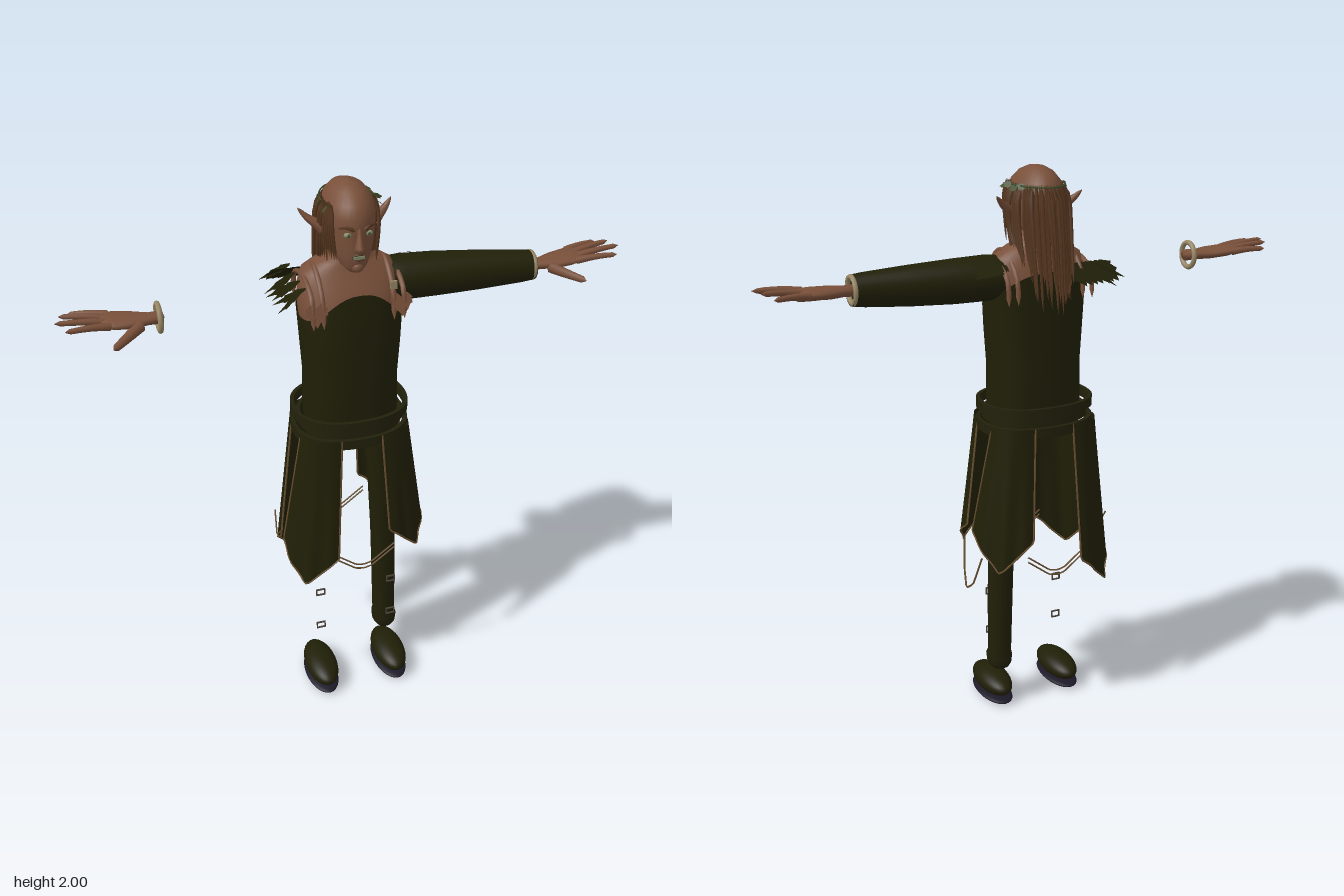
import * as THREE from 'three';
import { toCreasedNormals } from 'three/addons/utils/BufferGeometryUtils.js';

const V = (x, y, z) => new THREE.Vector3(x, y, z);
const mat = (name, color, side = THREE.FrontSide) => {
  const m = new THREE.MeshStandardMaterial({ color, side });
  m.name = name;
  return m;
};

// Skin of stacked rings [y, rx, rz, cx, cz]; square < 1 makes boxier ovals, lift shifts y per angle
function loft(rings, square = 1, n = 32, lift = null) {
  const pos = [], idx = [];
  const pow = (v) => Math.sign(v) * Math.abs(v) ** square;
  rings.forEach(([y, rx, rz, cx = 0, cz = 0], i) => {
    for (let j = 0; j < n; j++) {
      const a = (j / n) * Math.PI * 2;
      pos.push(cx + rx * pow(Math.cos(a)), y + (lift ? lift(i, a) : 0), cz + rz * pow(Math.sin(a)));
      if (i < rings.length - 1) {
        const k = (j + 1) % n, p = i * n + j, q = i * n + k;
        idx.push(p, p + n, q, q, p + n, q + n);
      }
    }
  });
  const g = new THREE.BufferGeometry();
  g.setAttribute('position', new THREE.Float32BufferAttribute(pos, 3));
  g.setIndex(idx);
  g.computeVertexNormals();
  return g;
}

// Tube along points, tapering from r0 to r1 and closing at both ends
function taper(points, r0, r1 = r0, seg = 8, sides = 6) {
  const curve = new THREE.CatmullRomCurve3(points);
  const g = new THREE.TubeGeometry(curve, seg, 1, sides, false);
  const p = g.attributes.position, v = V(0, 0, 0);
  for (let i = 0; i < p.count; i++) {
    const ring = Math.floor(i / (sides + 1)), t = ring / seg, c = curve.getPointAt(t);
    const r = ring === 0 || ring === seg ? 0.0004 : r0 + (r1 - r0) * t;
    v.fromBufferAttribute(p, i).sub(c).multiplyScalar(r).add(c);
    p.setXYZ(i, v.x, v.y, v.z);
  }
  return g;
}

// Thin polyline made of straight tube runs
function line(points, r) {
  const path = new THREE.CurvePath();
  for (let i = 1; i < points.length; i++) path.add(new THREE.LineCurve3(points[i - 1], points[i]));
  return new THREE.TubeGeometry(path, points.length * 5, r, 5, false);
}

export function createModel() {
  const root = new THREE.Group();
  const skin = mat('skin', 0x79503a);
  const hair = mat('hair', 0x55361f);
  const cloth = mat('dark green cloth', 0x201f07, THREE.DoubleSide);
  const leather = mat('belt leather', 0x22210b);
  const trim = mat('tan trim', 0x6a5030);
  const cuffs = mat('bone cuff', 0x988866);
  const sole = mat('dark sole', 0x1c1928);
  const leafy = mat('circlet green', 0x424f2a, THREE.DoubleSide);
  const eyeMat = mat('pale eye', 0x7f8a6a);
  const metal = mat('buckle metal', 0x4c433a);
  const add = (name, geo, material, parent = root) => {
    const m = new THREE.Mesh(geo, material);
    m.name = name;
    parent.add(m);
    return m;
  };
  let seed = 7;
  const rnd = () => (seed = (seed * 16807) % 2147483647) / 2147483647;

  // Head, neck and bare shoulders
  add('head', loft([[1.722, 0.001, 0.001, 0, 0.075], [1.726, 0.025, 0.025, 0, 0.07], [1.745, 0.045, 0.05, 0, 0.053],
    [1.78, 0.062, 0.082, 0, 0.03], [1.82, 0.074, 0.1, 0, 0.012], [1.87, 0.082, 0.118, 0, -0.003],
    [1.91, 0.085, 0.126, 0, -0.01], [1.95, 0.076, 0.112, 0, -0.014], [1.98, 0.052, 0.078, 0, -0.016],
    [1.995, 0.026, 0.038, 0, -0.016], [2, 0.001, 0.001, 0, -0.016]]), skin);
  add('shoulders', loft([[1.5, 0.16, 0.12, 0, 0.005], [1.55, 0.17, 0.126, 0, 0.002], [1.6, 0.173, 0.122, 0, -0.004],
    [1.66, 0.17, 0.102, 0, -0.012], [1.705, 0.157, 0.08, 0, -0.018], [1.735, 0.11, 0.065, 0, -0.016],
    [1.752, 0.06, 0.055, 0, -0.01], [1.83, 0.048, 0.05, 0, -0.005]], 0.85), skin);
  add('nose', loft([[1.805, 0.004, 0.004, 0, 0.11], [1.812, 0.019, 0.022, 0, 0.12], [1.825, 0.014, 0.022, 0, 0.121],
    [1.85, 0.009, 0.018, 0, 0.112], [1.885, 0.006, 0.008, 0, 0.108]], 1, 12), skin);
  add('chin', new THREE.SphereGeometry(0.02, 14, 10).translate(0, 1.745, 0.092), skin);
  add('teeth', new THREE.BoxGeometry(0.036, 0.01, 0.009).translate(0, 1.785, 0.112), eyeMat);
  for (const y of [1.795, 1.775])
    add('lip', taper([V(-0.026, 1.785, 0.102), V(0, y, 0.114), V(0.026, 1.785, 0.102)], 0.004), hair);
  for (const s of [-1, 1]) {
    add('eye', new THREE.SphereGeometry(0.013, 12, 8).scale(1.1, 0.7, 0.7).translate(s * 0.034, 1.862, 0.102), eyeMat);
    add('iris', new THREE.SphereGeometry(0.006, 8, 6).translate(s * 0.034, 1.862, 0.107), leafy);
    add('brow', taper([V(s * 0.014, 1.878, 0.116), V(s * 0.035, 1.888, 0.108), V(s * 0.06, 1.88, 0.083)], 0.007, 0.003), hair);
    add('ear', taper([V(s * 0.072, 1.838, -0.002), V(s * 0.1, 1.86, -0.015), V(s * 0.13, 1.88, -0.03), V(s * 0.158, 1.91, -0.045)], 0.026, 0.004), skin);
  }

  // Hair strands: long at the back, shorter toward the temples
  const hairGroup = new THREE.Group();
  hairGroup.name = 'hair';
  root.add(hairGroup);
  for (let i = 0; i < 60; i++) {
    const a = (i / 59 - 0.5) * 3.6 + (rnd() - 0.5) * 0.08, s = Math.sin(a), c = Math.cos(a);
    const end = 1.7 - 0.13 * Math.max(0, c) + (rnd() - 0.5) * 0.1, w = 0.9 + rnd() * 0.2;
    add('strand', taper([V(s * 0.078, 1.945, -0.015 - c * 0.115), V(s * 0.092 * w, 1.9, -0.02 - c * 0.128),
      V(s * 0.095 * w, 1.8, -0.03 - c * 0.13 * w), V(s * 0.09 * w, end, -0.055 - c * 0.135 * w)], 0.008, 0.004, 8, 5), hair, hairGroup);
  }
  for (const s of [-1, 1]) for (let i = 0; i < 6; i++)
    add('temple strand', taper([V(s * 0.072, 1.95, 0.02 + i * 0.008), V(s * (0.092 - i * 0.003), 1.88, 0.03 + i * 0.01),
      V(s * (0.09 - i * 0.005), 1.74 + rnd() * 0.05, 0.03 + i * 0.01)], 0.006, 0.003, 6, 5), hair, hairGroup);

  // Leaf blade laid along dir with the given face direction
  const blade = new THREE.Shape();
  blade.moveTo(-0.1, 0);
  for (const [x, y] of [[-0.38, 0.3], [-0.28, 0.36], [-0.34, 0.62], [-0.2, 0.66], [0, 1], [0.2, 0.66], [0.34, 0.62], [0.28, 0.36], [0.38, 0.3], [0.1, 0]]) blade.lineTo(x, y);
  const bladeGeo = new THREE.ShapeGeometry(blade);
  const leaf = (name, at, dir, face, size, material) => {
    const d = dir.clone().normalize(), x = d.clone().cross(face).normalize();
    const m = new THREE.Matrix4().makeBasis(x, d, x.clone().cross(d)).scale(V(size, size, size)).setPosition(at);
    add(name, bladeGeo.clone().applyMatrix4(m), material);
  };

  // Leafy circlet around the back of the head
  add('circlet', new THREE.TorusGeometry(1, 0.025, 6, 32, Math.PI).rotateX(-Math.PI / 2)
    .scale(0.088, 0.12, 0.128).translate(0, 1.94, -0.012), leafy);
  for (const s of [-1, 1]) for (let i = 0; i < 6; i++) {
    const a = -0.3 + i * 0.3, out = V(s * Math.cos(a), 0.5, -Math.sin(a));
    leaf('circlet leaf', V(s * 0.088 * Math.cos(a), 1.935, -0.01 - 0.125 * Math.sin(a)),
      V(s * 0.5, i % 2 ? 0.2 : -0.3, 0.8), out, 0.035, leafy);
  }

  // Tunic with an arched neckline, higher across the back
  add('tunic', loft([[1.08, 0.155, 0.128, 0, 0.008], [1.2, 0.163, 0.135, 0, 0.01], [1.32, 0.16, 0.135, 0, 0.01],
    [1.45, 0.169, 0.136, 0, 0.01], [1.52, 0.174, 0.134, 0, 0.007], [1.55, 0.176, 0.13, 0, 0.002]], 0.8, 64,
    (i, a) => (i < 4 ? 0 : (i - 3) * 0.5 * (0.01 + 0.1 * Math.abs(Math.sin(a)) ** (Math.sin(a) > 0 ? 4.5 : 1.5)))), cloth);
  add('hips', loft([[1.1, 0.001, 0.001, 0, 0.008], [1.1, 0.148, 0.122, 0, 0.008], [1.16, 0.148, 0.122, 0, 0.008]], 0.8), hair);

  // Shoulder straps, small hanging leaves and one clasp
  for (const s of [-1, 1]) {
    for (const x of [0.12, 0.155])
      add('shoulder strap', taper([V(s * x, 1.55, 0.122), V(s * x, 1.65, 0.1), V(s * x, 1.725 - (x - 0.12), 0.0), V(s * x, 1.65, -0.115), V(s * x, 1.56, -0.13)], 0.009, 0.009, 16), skin);
    for (let i = 0; i < 3; i++)
      leaf('strap leaf', V(s * (0.125 + 0.017 * i), 1.64 - (i % 2) * 0.02, 0.113), V(s * 0.05, -1, 0.3), V(0, 0.2, 1), 0.06, skin);
  }
  add('strap clasp', new THREE.BoxGeometry(0.022, 0.028, 0.009).translate(0.12, 1.67, 0.108), cuffs);

  // Leaf mantle: full on the right shoulder, a few blades behind the left
  for (let i = 0; i < 7; i++) {
    const z = -0.13 + i * 0.032;
    leaf('mantle leaf', V(-0.165, 1.675 - (i % 2) * 0.02, z), V(-0.1, -0.05 - (i % 3) * 0.025, -0.02), V(-0.3, 1, -0.25), 0.12, cloth);
    leaf('mantle back leaf', V(-0.19 + i * 0.018, 1.675, -0.1), V(-0.06 + i * 0.004, -0.07, -0.07), V(0, 0.8, -1), 0.1, cloth);
  }
  for (let i = 0; i < 4; i++)
    leaf('mantle left leaf', V(0.14 + i * 0.02, 1.69, -0.06 - i * 0.006), V(0.07, -0.03, -0.05), V(0.1, 1, -0.5), 0.09, cloth);

  // Single left sleeve
  add('sleeve', loft([[0.14, 0.072, 0.078, -1.638, -0.01], [0.18, 0.077, 0.08, -1.636, -0.008], [0.3, 0.075, 0.075, -1.634, -0.002],
    [0.45, 0.068, 0.062, -1.632, 0.012], [0.6, 0.057, 0.05, -1.631, 0.027], [0.645, 0.051, 0.048, -1.631, 0.031]], 1, 28)
    .rotateZ(-Math.PI / 2), cloth);

  // Hands with cuffs, mirrored
  const fingers = [[-0.022, 0.915, 1.645, -0.05], [0.008, 0.945, 1.66, -0.012], [0.034, 0.962, 1.662, 0.036], [0.06, 0.935, 1.652, 0.082]];
  for (const s of [-1, 1]) {
    const hand = new THREE.Group();
    hand.name = s > 0 ? 'leftHand' : 'rightHand';
    hand.scale.x = s;
    root.add(hand);
    add('cuff', new THREE.TorusGeometry(0.042, 0.009, 8, 28).rotateY(Math.PI / 2).scale(1, 1.05, 1).translate(0.638, 1.632, 0.03), cuffs, hand);
    add('palm', loft([[0.62, 0.001, 0.001, -1.632, 0.03], [0.625, 0.02, 0.026, -1.632, 0.03], [0.67, 0.018, 0.027, -1.632, 0.03],
      [0.72, 0.021, 0.046, -1.634, 0.027], [0.78, 0.019, 0.054, -1.638, 0.021], [0.815, 0.013, 0.047, -1.642, 0.02],
      [0.826, 0.001, 0.02, -1.642, 0.02]], 1, 20).rotateZ(-Math.PI / 2), skin, hand);
    for (const [z0, x, y, z] of fingers)
      add('finger', taper([V(0.78, 1.638, z0), V((0.78 + x) / 2, (1.638 + y) / 2 + 0.004, (z0 + z) / 2), V(x, y, z)], 0.014, 0.008, 10, 8), skin, hand);
    add('thumb', taper([V(0.69, 1.63, 0.05), V(0.74, 1.613, 0.088), V(0.8, 1.597, 0.138)], 0.021, 0.011, 10, 8), skin, hand);
  }

  // Loose belts around the waist
  const band = (y0, y1, rx, rz) => toCreasedNormals(loft([[y0, rx, rz], [y1, rx, rz], [y1, rx - 0.014, rz - 0.014],
    [y0, rx - 0.014, rz - 0.014], [y0, rx, rz]], 0.85, 56), 0.6);
  add('upperBelt', band(1.165, 1.2, 0.204, 0.167), leather);
  add('middleBelt', band(1.13, 1.162, 0.184, 0.152), leather);
  add('lowerBelt', band(1.095, 1.13, 0.204, 0.167), leather);

  // Four corner skirt panels with pointed hems and edging
  const bez = (u, a, c, b) => a * (1 - u) ** 2 + 2 * c * u * (1 - u) + b * u * u;
  for (const [sx, sz, tip] of [[1, 1, 0.62], [1, -1, 0.61], [-1, 1, 0.53], [-1, -1, 0.505]]) {
    const at = (u, v) => {
      const k = 0.004 * Math.sin(u * 18) * v, hem = tip + 0.12 * Math.abs(u - 0.48) * 2;
      const x = bez(u, 0.072, 0.195, 0.19) * (1 - v) + bez(u, 0.095, 0.25, 0.258) * v + k;
      const z = bez(u, 0.158, 0.165, 0.06) * (1 - v) + bez(u, 0.19, 0.195, 0.025) * v + k;
      return V(sx * x, 1.13 + (hem - 1.13) * v, sz * z);
    };
    const g = new THREE.PlaneGeometry(1, 1, 24, 8), uv = g.attributes.uv;
    for (let i = 0; i < uv.count; i++) g.attributes.position.setXYZ(i, ...at(uv.getX(i), 1 - uv.getY(i)).toArray());
    g.computeVertexNormals();
    add('skirtPanel', g, cloth);
    const edge = [at(0, 0), at(0, 0.5)];
    for (let i = 0; i <= 12; i++) edge.push(at(i / 12, 1));
    edge.push(at(1, 0.5), at(1, 0));
    add('panelEdging', line(edge, 0.0036), trim);
  }

  // Loose hem cords hanging in the gaps
  for (const z of [0.185, -0.185]) for (const d of [0, 0.018])
    add('hemCord', line([V(-0.115, 0.67 - d, z), V(-0.03, 0.605 - d, z), V(0, 0.598 - d, z), V(0.03, 0.605 - d, z), V(0.115, 0.67 - d, z)], 0.003), trim);
  add('sideCord', line([V(0.25, 0.68, 0.06), V(0.265, 0.56, 0.03), V(0.272, 0.505, 0), V(0.258, 0.53, -0.03), V(0.235, 0.64, -0.06)], 0.0036), trim);
  add('sideCord', line([V(-0.265, 0.73, 0.06), V(-0.275, 0.66, 0), V(-0.265, 0.73, -0.06)], 0.003), trim);

  // Single left trouser leg
  add('trouserLeg', loft([[0.165, 0.001, 0.001, 0.138, 0.015], [0.155, 0.034, 0.042, 0.138, 0.015], [0.17, 0.043, 0.05, 0.138, 0.015],
    [0.2, 0.046, 0.053, 0.138, 0.015], [0.215, 0.041, 0.047, 0.137, 0.014], [0.45, 0.044, 0.048, 0.134, 0.01],
    [0.62, 0.045, 0.047, 0.13, 0.007], [0.9, 0.05, 0.055, 0.122, 0], [1.12, 0.058, 0.07, 0.108, 0]], 0.9, 24), cloth);

  // Shin buckles and shoes on both sides
  for (const s of [-1, 1]) {
    for (const y of [0.265, 0.425]) {
      const b = new THREE.Group();
      b.name = 'buckle';
      b.position.set(s * 0.138, y, 0.092);
      root.add(b);
      for (const k of [-1, 1]) {
        add('buckle bar', new THREE.BoxGeometry(0.034, 0.004, 0.006).translate(0, k * 0.012, 0), metal, b);
        add('buckle side', new THREE.BoxGeometry(0.004, 0.028, 0.006).translate(k * 0.015, 0, 0), metal, b);
      }
    }
    add('shoe', new THREE.SphereGeometry(1, 28, 18).scale(0.06, 0.044, 0.125).translate(s * 0.138, 0.061, 0.08), cloth);
    add('shoeSole', new THREE.SphereGeometry(1, 28, 12).scale(0.06, 0.014, 0.126).translate(s * 0.138, 0.014, 0.08), sole);
  }
  return root;
}
